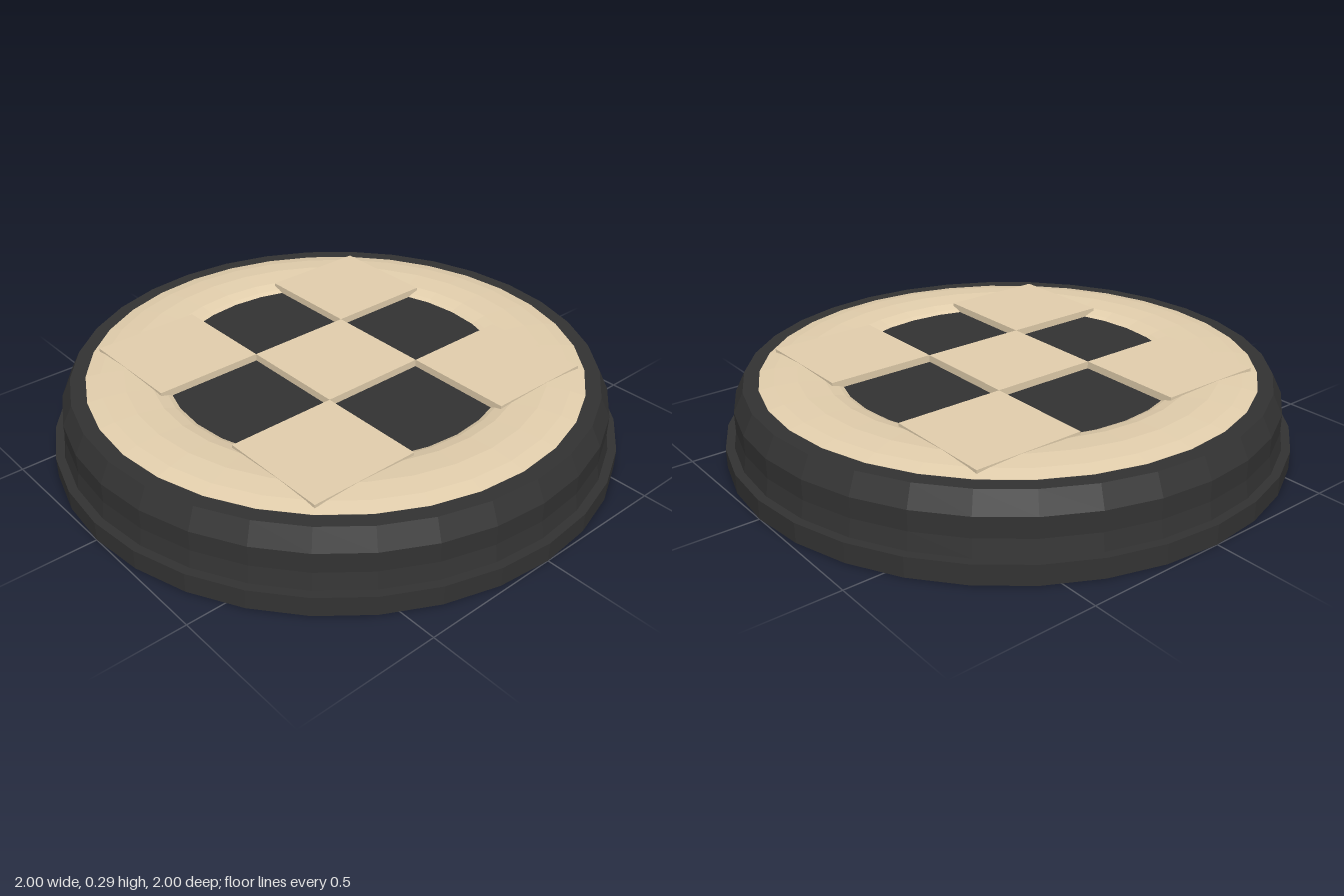
import * as THREE from 'three';

const SIDES = 32;
const dark = new THREE.MeshStandardMaterial({ color: 0x333333, flatShading: true });
const cream = new THREE.MeshStandardMaterial({ color: 0xe3cfad, flatShading: true });

// Revolves a profile of [radius, height] pairs, listed from the bottom up.
function turned(name, profile, material) {
  const points = profile.map(([r, y]) => new THREE.Vector2(r, y));
  const mesh = new THREE.Mesh(new THREE.LatheGeometry(points, SIDES), material);
  mesh.name = name;
  return mesh;
}

export function createModel() {
  const model = new THREE.Group();
  model.name = 'checkeredDisc';

  // Stepped foot, side wall, bevelled rim and the shallow floor inside it
  model.add(turned('base', [
    [0, 0], [1, 0], [1, 0.07], [0.97, 0.07], [0.96, 0.13], [0.96, 0.2],
    [0.925, 0.27], [0.86, 0.27], [0.86, 0.262], [0, 0.262],
  ], dark));

  // Low rounded ring around the floor
  model.add(turned('roundedRing', [
    [0.872, 0.266], [0.872, 0.271], [0.82, 0.281], [0.74, 0.287],
    [0.65, 0.281], [0.61, 0.27], [0.593, 0.262],
  ], cream));

  // Raised squares: one in the middle and four at the corners
  const size = 0.4, top = 0.288, bottom = 0.255;
  const squares = new THREE.Group();
  squares.name = 'raisedSquares';
  const geometry = new THREE.BoxGeometry(size, top - bottom, size);
  for (const [i, j] of [[0, 0], [1, 1], [1, -1], [-1, 1], [-1, -1]]) {
    const square = new THREE.Mesh(geometry, cream);
    square.name = i === 0 ? 'centreSquare' : 'cornerSquare';
    square.position.set(i * size, (top + bottom) / 2, j * size);
    squares.add(square);
  }
  model.add(squares);

  return model;
}
